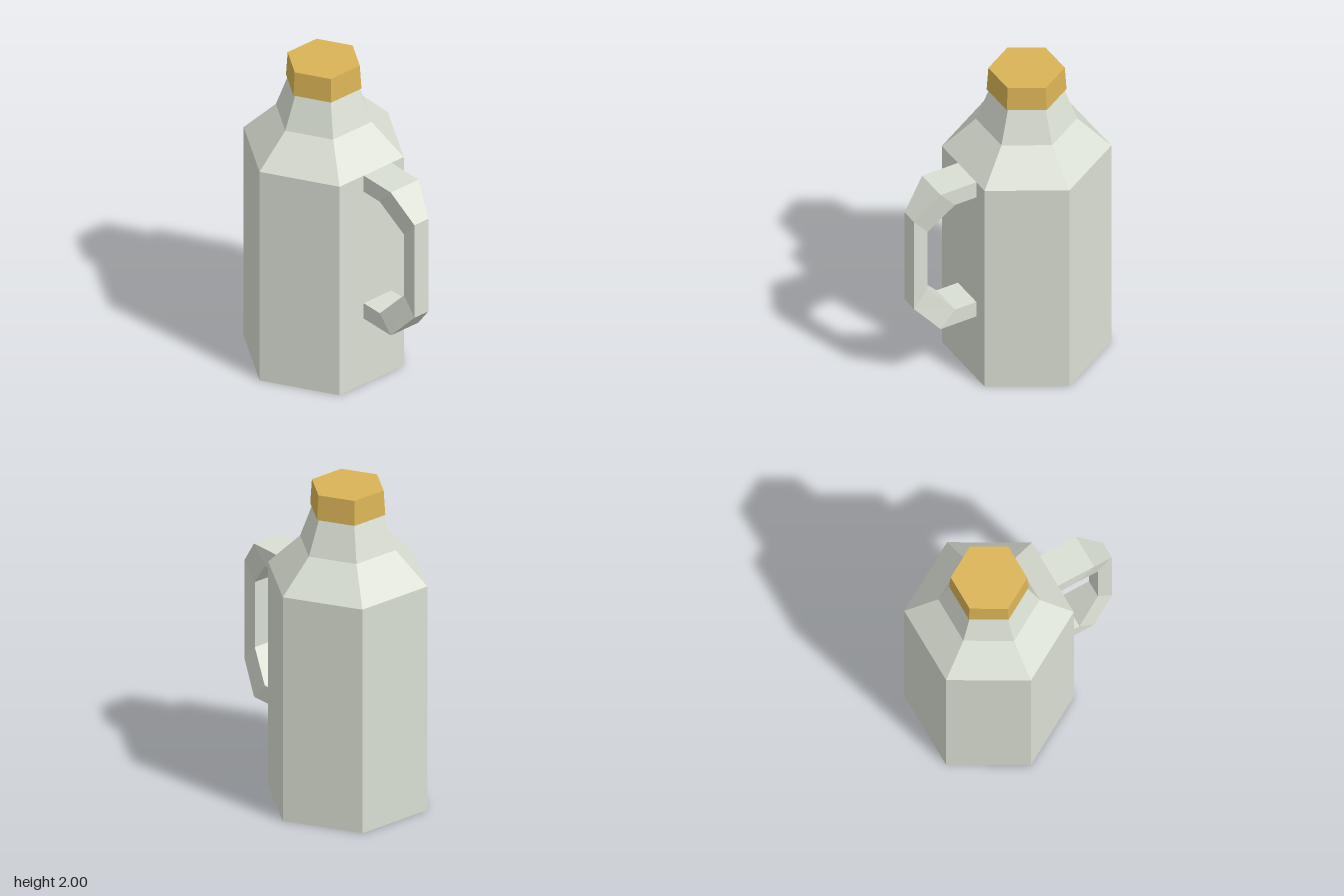
import * as THREE from 'three';

const CENTRE = [-0.005, 0, -0.125]; // axis of the flask
const TURN = -0.07; // twist of the hexagon about its axis

export function createModel() {
  const group = new THREE.Group();
  const shell = new THREE.MeshStandardMaterial({ name: 'paleGreyGreen', color: 0xdadfd3, flatShading: true, side: THREE.DoubleSide });
  const gold = new THREE.MeshStandardMaterial({ name: 'gold', color: 0xdab456, flatShading: true });

  const add = (name, geometry, material, turn = 0) => {
    const mesh = new THREE.Mesh(geometry, material);
    mesh.name = name;
    mesh.position.set(...CENTRE);
    mesh.rotation.y = turn;
    group.add(mesh);
  };

  // Six-sided body with sloping shoulder and neck, open underneath
  const profile = [[0.49, 0], [0.49, 1.43], [0.293, 1.63], [0.216, 1.845]]
    .map(([r, y]) => new THREE.Vector2(r, y));
  add('body', flat(new THREE.LatheGeometry(profile, 6)), shell, TURN);

  // Slightly tapered six-sided cap
  const cap = new THREE.CylinderGeometry(0.221, 0.231, 0.155, 6);
  cap.translate(0, 1.9225, 0);
  add('cap', flat(cap), gold, TURN);

  // Handle stands out from the middle of one face
  add('handle', handleGeometry(), shell, TURN + Math.PI / 6);
  return group;
}

function flat(geometry) {
  const g = geometry.toNonIndexed();
  g.computeVertexNormals();
  return g;
}

// Four-sided sections swept from the upper wall joint to the lower one
function handleGeometry() {
  const offset = 0.045;
  // half width, outer [out, y], inner [out, y]
  const sections = [
    [0.106, [0.42, 1.43], [0.42, 1.32]],
    [0.106, [0.664, 1.43], [0.567, 1.32]],
    [0.053, [0.812, 1.255], [0.72, 1.147]],
    [0.053, [0.812, 0.62], [0.72, 0.73]],
    [0.106, [0.664, 0.45], [0.567, 0.555]],
    [0.106, [0.42, 0.45], [0.42, 0.555]],
  ];
  const positions = [];
  for (const [w, o, i] of sections) {
    positions.push(offset - w, o[1], o[0], offset + w, o[1], o[0]);
    positions.push(offset + w, i[1], i[0], offset - w, i[1], i[0]);
  }
  const index = [];
  for (let s = 0; s < sections.length - 1; s++) {
    for (let k = 0; k < 4; k++) {
      const a = s * 4 + k, b = s * 4 + (k + 1) % 4;
      index.push(a, a + 4, b + 4, a, b + 4, b);
    }
  }
  const g = new THREE.BufferGeometry();
  g.setAttribute('position', new THREE.Float32BufferAttribute(positions, 3));
  g.setIndex(index);
  return flat(g);
}
